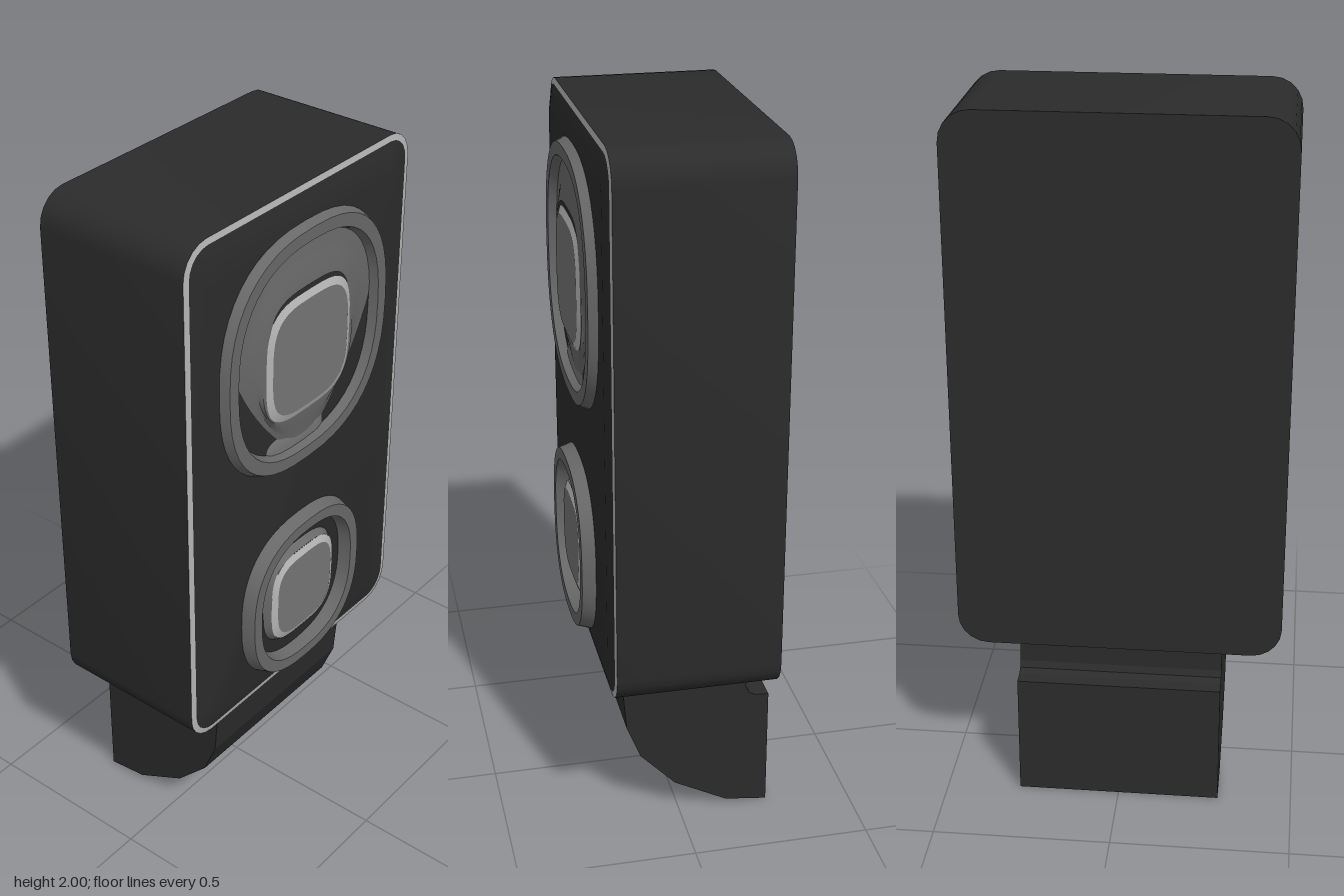
import * as THREE from 'three';
import { toCreasedNormals } from 'three/addons/utils/BufferGeometryUtils.js';

const mat = (color) => new THREE.MeshStandardMaterial({ color, side: THREE.DoubleSide });
const dark = mat(0x2b2b2b), grey = mat(0x757575), midGrey = mat(0x686868), light = mat(0xb4b4b4);

// Outline of a squarish oval, counter-clockwise; taper narrows its lower half
function oval(rx, ry, z, power = 2.5, taper = 0) {
  const pts = [], n = 48;
  for (let i = 0; i < n; i++) {
    const a = (i / n) * Math.PI * 2, c = Math.cos(a), s = Math.sin(a);
    const x = Math.sign(c) * Math.abs(c) ** (2 / power);
    const y = Math.sign(s) * Math.abs(s) ** (2 / power);
    pts.push(new THREE.Vector3(x * rx * (1 - taper * Math.max(0, 0.15 - y)), y * ry, z));
  }
  return pts;
}

// Outline of a rounded rectangle, counter-clockwise
function roundRect(hw, hh, r, z) {
  const pts = [], n = 5;
  [[1, 1], [-1, 1], [-1, -1], [1, -1]].forEach(([sx, sy], q) => {
    for (let i = 0; i <= n; i++) {
      const a = (q + i / n) * Math.PI / 2;
      pts.push(new THREE.Vector3(sx * (hw - r) + r * Math.cos(a), sy * (hh - r) + r * Math.sin(a), z));
    }
  });
  return pts;
}

// Skin over successive outlines, with optional flat ends
function loft(name, rings, material, { front = false, back = false } = {}) {
  const v = [], n = rings[0].length;
  const tri = (...p) => p.forEach((q) => v.push(q.x, q.y, q.z));
  for (let k = 0; k + 1 < rings.length; k++) {
    for (let i = 0; i < n; i++) {
      const j = (i + 1) % n, A = rings[k], B = rings[k + 1];
      tri(A[i], A[j], B[j]);
      tri(A[i], B[j], B[i]);
    }
  }
  const last = rings[rings.length - 1];
  for (let i = 1; i + 1 < n; i++) {
    if (front) tri(last[0], last[i], last[i + 1]);
    if (back) tri(rings[0][0], rings[0][i + 1], rings[0][i]);
  }
  const g = new THREE.BufferGeometry();
  g.setAttribute('position', new THREE.Float32BufferAttribute(v, 3));
  g.computeVertexNormals();
  const mesh = new THREE.Mesh(toCreasedNormals(g, 0.45), material);
  mesh.name = name;
  return mesh;
}

// Raised rim around a driver
function rim(name, rx, ry, w, z) {
  return loft(name, [
    oval(rx + 0.012, ry + 0.012, 0.222), oval(rx, ry, z),
    oval(rx - w, ry - w, z), oval(rx - w - 0.01, ry - w - 0.01, 0.222),
  ], midGrey);
}

// Flat cap with a pale bevelled edge
function cap(group, r, edge, z) {
  group.add(
    loft('capEdge', [oval(r, r, z - 0.008, 3.5), oval(r - edge, r - edge, z, 3.5)], light),
    loft('cap', [oval(r - edge, r - edge, z, 3.5)], grey, { front: true }),
  );
}

export function createModel() {
  const model = new THREE.Group();

  // Cabinet with a pale trim line and a slightly raised front panel
  const cabinet = new THREE.Group();
  cabinet.name = 'cabinet';
  cabinet.position.y = 1.2375;
  cabinet.add(
    loft('cabinetBody', [roundRect(0.455, 0.7625, 0.085, -0.245), roundRect(0.455, 0.7625, 0.085, 0.21)], dark, { back: true }),
    loft('trim', [roundRect(0.455, 0.7625, 0.085, 0.21), roundRect(0.438, 0.746, 0.07, 0.213)], light),
    loft('frontPanel', [roundRect(0.438, 0.746, 0.07, 0.213), roundRect(0.395, 0.705, 0.06, 0.225)], dark, { front: true }),
  );
  model.add(cabinet);

  // Large driver: rim, cone narrowing downwards, central cap
  const woofer = new THREE.Group();
  woofer.name = 'woofer';
  woofer.position.set(-0.005, 1.56, 0);
  woofer.add(
    rim('wooferRim', 0.33, 0.34, 0.035, 0.25),
    loft('wooferCone', [
      oval(0.295, 0.3, 0.226, 2.4, 0.5), oval(0.255, 0.275, 0.229, 2.4, 0.4),
      oval(0.225, 0.245, 0.233, 2.6, 0.25), oval(0.19, 0.2, 0.242, 3),
      oval(0.17, 0.18, 0.243, 3.5),
    ], midGrey),
  );
  const wooferCap = new THREE.Group();
  wooferCap.name = 'wooferCap';
  wooferCap.position.y = -0.012;
  cap(wooferCap, 0.178, 0.02, 0.25);
  woofer.add(wooferCap);
  // Short grey lip below the cone
  const lip = loft('wooferLip', [oval(0.12, 0.04, 0.225, 4), oval(0.1, 0.025, 0.229, 4)], grey, { front: true });
  lip.position.set(-0.03, -0.28, 0);
  woofer.add(lip);
  model.add(woofer);

  // Small driver: rim, dark surround, raised dome
  const tweeter = new THREE.Group();
  tweeter.name = 'tweeter';
  tweeter.position.set(-0.007, 0.775, 0);
  tweeter.add(
    rim('tweeterRim', 0.238, 0.243, 0.033, 0.262),
    loft('tweeterDome', [oval(0.155, 0.157, 0.224, 3), oval(0.138, 0.142, 0.245, 3.3)], midGrey),
  );
  cap(tweeter, 0.14, 0.019, 0.252);
  model.add(tweeter);

  // Curved stand with a notch at the back; profile is (z, y)
  const profile = [
    [0.165, 0.5], [0.163, 0.42], [0.153, 0.3], [0.113, 0.2], [0.013, 0.095], [-0.14, 0.015], [-0.26, 0],
    [-0.26, 0.36], [-0.222, 0.362], [-0.203, 0.372], [-0.194, 0.39], [-0.192, 0.5],
  ].map(([z, y]) => new THREE.Vector2(z, y));
  const standGeo = new THREE.ExtrudeGeometry(new THREE.Shape(profile), { depth: 0.578, bevelEnabled: false });
  standGeo.translate(0, 0, -0.289).rotateY(-Math.PI / 2);
  const stand = new THREE.Mesh(standGeo, dark);
  stand.name = 'stand';
  model.add(stand);

  return model;
}
